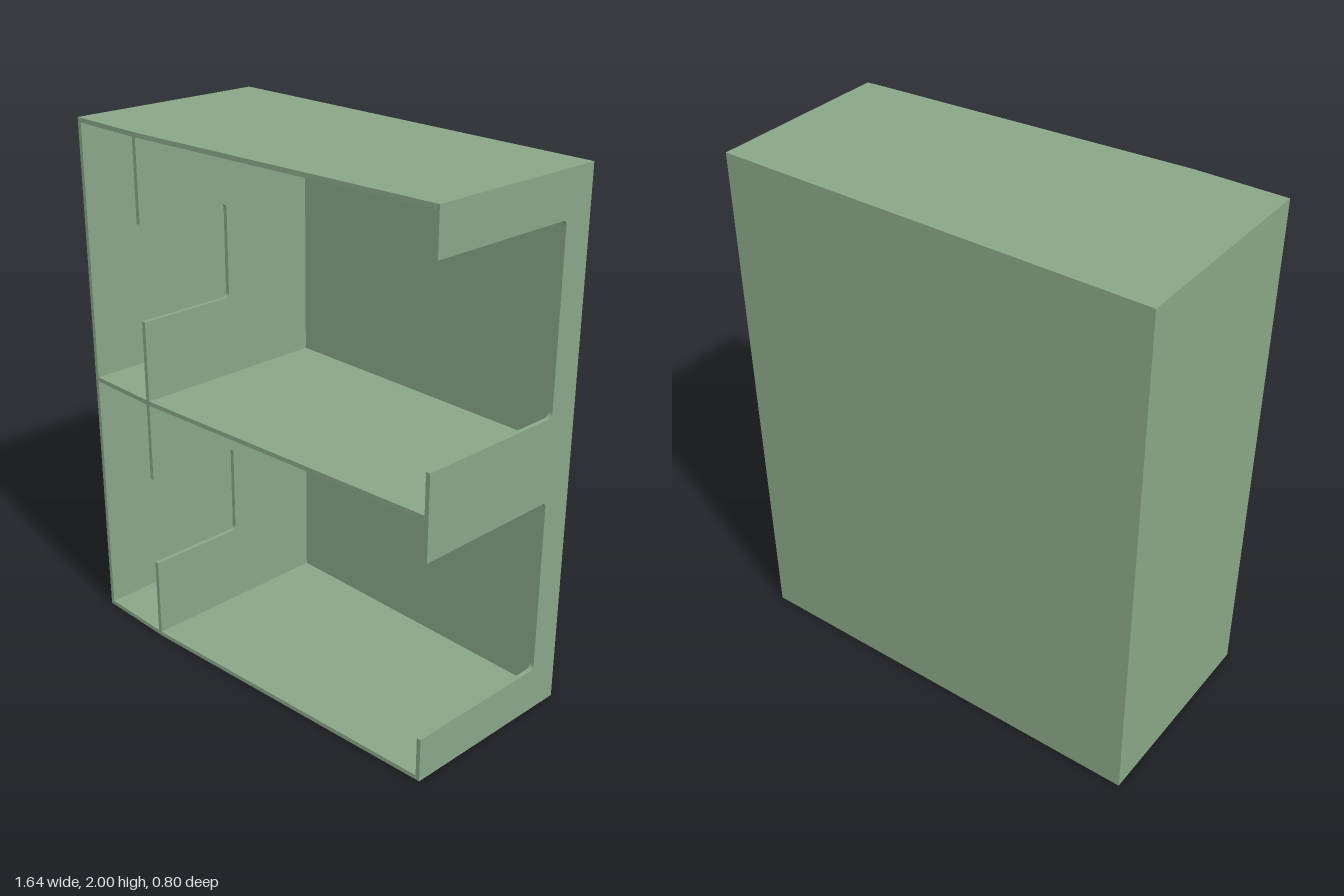
import * as THREE from 'three';

const T = 0.017;            // board thickness
const W = 0.82, D = 0.4;    // half width, half depth
const SLOPE_X = -0.48;      // front edge starts to taper here
const FRONT_R = 0.315;      // front edge depth at the right wall
const frontZ = x => x <= SLOPE_X ? D : D + (x - SLOPE_X) / (W - SLOPE_X) * (FRONT_R - D);

// Upright board with rounded notches cut in from its front edge
function upright(x, y0, y1, front, notchZ, notches) {
  const r = 0.02, s = new THREE.Shape();
  const back = D - T, f = -front, n = -notchZ;
  s.moveTo(back, y0);
  s.lineTo(back, y1);
  s.lineTo(f, y1);
  for (const [lo, hi] of [...notches].reverse()) {
    s.lineTo(f, hi);
    s.lineTo(n - r, hi);
    s.quadraticCurveTo(n, hi, n, hi - r);
    s.lineTo(n, lo + r);
    s.quadraticCurveTo(n, lo, n - r, lo);
    s.lineTo(f, lo);
  }
  s.lineTo(f, y0);
  s.closePath();
  return new THREE.ExtrudeGeometry(s, { depth: T, bevelEnabled: false, curveSegments: 6 })
    .rotateY(Math.PI / 2).translate(x, 0, 0);
}

// Horizontal board with the tapered front, its top at the given height
function shelf(top) {
  const a = -W + T, b = W - T, back = -D + T;
  const s = new THREE.Shape([[a, back], [b, back], [b, frontZ(b)], [SLOPE_X, D], [a, D]]
    .map(p => new THREE.Vector2(...p)));
  return new THREE.ExtrudeGeometry(s, { depth: T, bevelEnabled: false })
    .rotateX(Math.PI / 2).translate(0, top, 0);
}

export function createModel() {
  const group = new THREE.Group();
  const material = new THREE.MeshStandardMaterial({ color: 0x8aa688 });
  const add = (name, geometry) => {
    const mesh = new THREE.Mesh(geometry, material);
    mesh.name = name;
    group.add(mesh);
  };

  // Outer shell
  add('backPanel', new THREE.BoxGeometry(2 * W, 2, T).translate(0, 1, -D + T / 2));
  add('leftHandWall', upright(-W, 0, 2, D, 0, []));
  add('notchedWall', upright(W - T, 0, 2, FRONT_R, -0.28, [[0.17, 0.845], [1.16, 1.835]]));

  // Shelves
  add('bottomShelf', shelf(T));
  add('middleShelf', shelf(1.01));
  add('topShelf', shelf(2));

  // Notched dividers, one per compartment
  add('lowerDivider', upright(-0.502, T, 1.01 - T, D, 0.008, [[0.328, 0.688]]));
  add('upperDivider', upright(-0.502, 1.01, 2 - T, D, 0.008, [[1.318, 1.678]]));
  return group;
}
